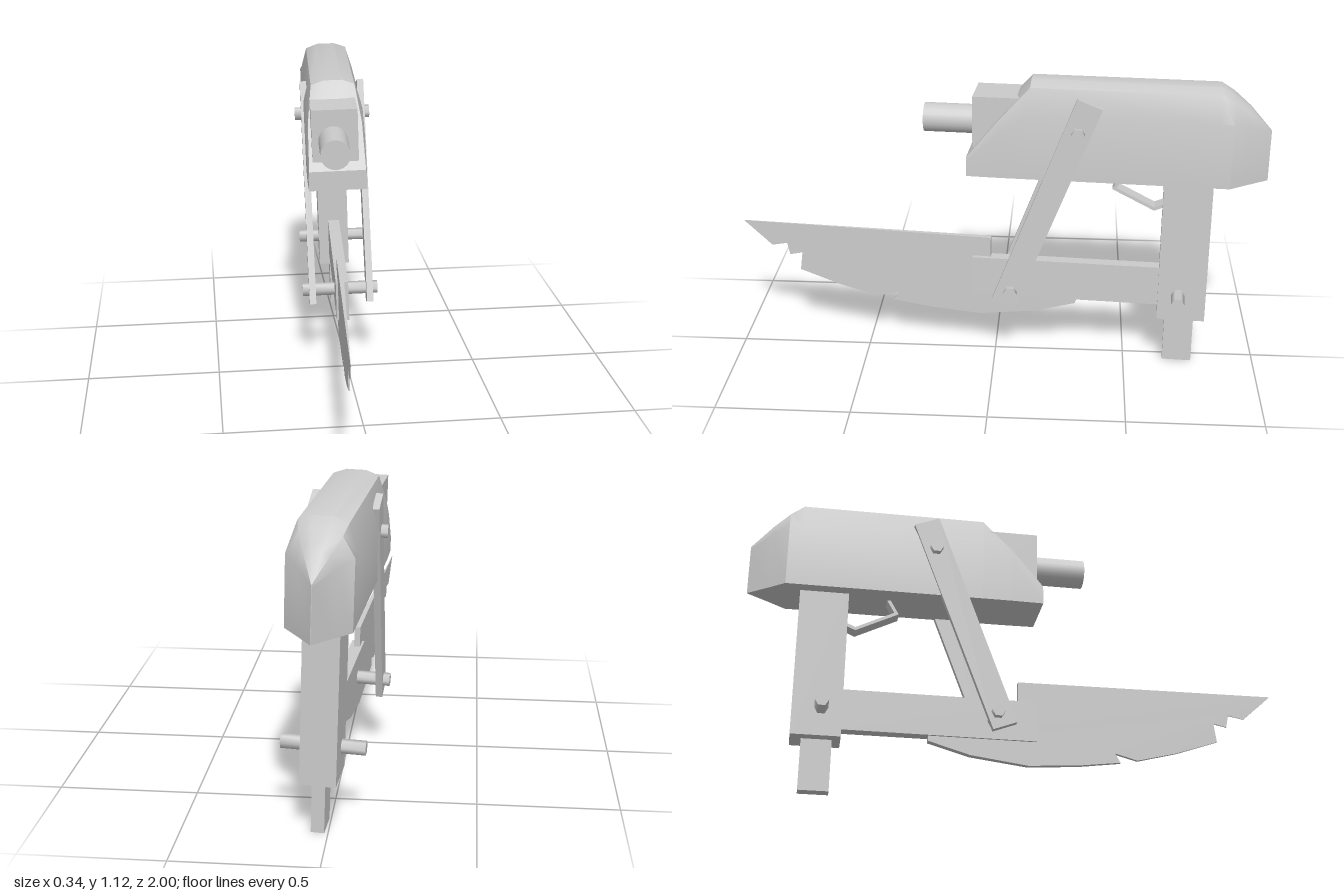
import * as THREE from 'three';
import { toCreasedNormals } from 'three/addons/utils/BufferGeometryUtils.js';

const material = new THREE.MeshStandardMaterial({ color: 0xcccccc });

export function createModel() {
  const model = new THREE.Group();
  model.name = 'bladedTool';
  const tilted = new THREE.Group();
  tilted.name = 'tiltedAssembly';
  // the whole assembly sits slightly yawed and rolled
  tilted.rotation.set(0, -0.063, 0.03);
  tilted.position.x = -0.015;
  model.add(tilted);

  const add = (name, geometry, x = 0, y = 0, z = 0) => {
    const mesh = new THREE.Mesh(geometry, material);
    mesh.name = name;
    mesh.position.set(x, y, z);
    tilted.add(mesh);
    return mesh;
  };
  // box given by its width and its z and y ranges
  const block = (name, w, z0, z1, y0, y1, x = 0) =>
    add(name, new THREE.BoxGeometry(w, y1 - y0, z1 - z0), x, (y0 + y1) / 2, (z0 + z1) / 2);
  // side outline of [z, y] points, extruded across x and centred
  const plate = (points, width) => {
    const shape = new THREE.Shape(points.map(([z, y]) => new THREE.Vector2(z, y)));
    return new THREE.ExtrudeGeometry(shape, { depth: width, bevelEnabled: false })
      .rotateY(-Math.PI / 2).translate(width / 2, 0, 0);
  };

  // housing: lofted sections, pointed at the back, sloped at the front
  add('housing', housingGeometry());
  block('muzzleBlock', 0.17, -0.12, 0.08, 0.86, 1.055, -0.005);
  add('barrel', new THREE.CylinderGeometry(0.054, 0.054, 0.25, 24).rotateX(Math.PI / 2), -0.012, 0.94, 0.145);

  // grip
  block('grip', 0.124, -0.805, -0.625, 0.193, 0.78);
  block('gripPlug', 0.046, -0.765, -0.655, 0.001, 0.22, 0.003);

  // trigger: a bent strip
  add('trigger', plate([
    [-0.472, 0.765], [-0.436, 0.703], [-0.594, 0.625], [-0.64, 0.645],
    [-0.635, 0.656], [-0.594, 0.638], [-0.453, 0.708], [-0.486, 0.765],
  ], 0.06));

  // lower bar that holds the blade
  block('lowerBar', 0.047, -0.64, 0.09, 0.235, 0.39, 0.002);

  // blade with a notched edge, tapering to a thin tip
  const blade = plate([
    [1, 0.477], [0.89, 0.378], [0.83, 0.39], [0.82, 0.342], [0.77, 0.353], [0.78, 0.28],
    [0.62, 0.225], [0.47, 0.187], [0.385, 0.21], [0.405, 0.175], [0.25, 0.155],
    [0.06, 0.142], [-0.155, 0.17], [-0.31, 0.215], [-0.31, 0.25], [0.02, 0.38], [0.02, 0.468],
  ], 1);
  const p = blade.attributes.position;
  for (let i = 0; i < p.count; i++) p.setX(i, p.getX(i) * 0.022 * (1.04 - p.getZ(i)) - 0.012 * p.getZ(i));
  blade.computeVertexNormals();
  add('blade', blade, -0.002);

  // slanted struts on both sides
  const strut = plate([[0, 0.268], [-0.087, 0.235], [-0.395, 1.04], [-0.303, 1.075]], 0.025);
  add('leftStrut', strut, 0.113);
  add('rightStrut', strut, -0.108);

  // hexagonal pins through struts and grip
  for (const [name, z, y] of [['upperPin', -0.31, 0.945], ['lowerPin', -0.07, 0.302], ['gripPin', -0.7, 0.298]]) {
    const pin = new THREE.CylinderGeometry(0.025, 0.025, 0.29, 6).rotateZ(Math.PI / 2);
    add(name, toCreasedNormals(pin, 1.2), 0, y, z);
  }
  return model;
}

function housingGeometry() {
  const bottom = 0.757;
  // z, half width, shoulder y, edge half width, edge y, crown half width, crown y
  const stations = [
    [0.1, 0.107, 0.81, 0.104, 0.83, 0.05, 0.83],
    [-0.02, 0.11, 0.93, 0.1, 0.978, 0.045, 0.982],
    [-0.13, 0.11, 1.0, 0.082, 1.098, 0.035, 1.115],
    [-0.81, 0.11, 1.0, 0.082, 1.098, 0.035, 1.115],
    [-0.86, 0.11, 1.0, 0.07, 1.067, 0.03, 1.085],
    [-0.92, 0.062, 0.98, 0.042, 1.02, 0.018, 1.036],
    [-1.0, 0.001, 0.94, 0.001, 0.945, 0.001, 0.95],
  ];
  const positions = [];
  for (const [z, w, sy, ew, ey, cw, cy] of stations) {
    const half = [[w, bottom], [w, sy], [ew, ey], [cw, cy]];
    const ring = [...half, ...half.map(([x, y]) => [-x, y]).reverse()];
    for (const [x, y] of ring) positions.push(x, y, z);
  }
  const n = 8, index = [], last = (stations.length - 1) * n;
  for (let s = 0; s < stations.length - 1; s++) {
    for (let i = 0; i < n; i++) {
      const a = s * n + i, b = s * n + (i + 1) % n;
      index.push(a, a + n, b, b, a + n, b + n);
    }
  }
  // end caps
  for (let i = 1; i < n - 1; i++) {
    index.push(0, i, i + 1, last, last + i + 1, last + i);
  }
  const geometry = new THREE.BufferGeometry();
  geometry.setAttribute('position', new THREE.Float32BufferAttribute(positions, 3));
  geometry.setIndex(index);
  return toCreasedNormals(geometry, 0.6);
}
